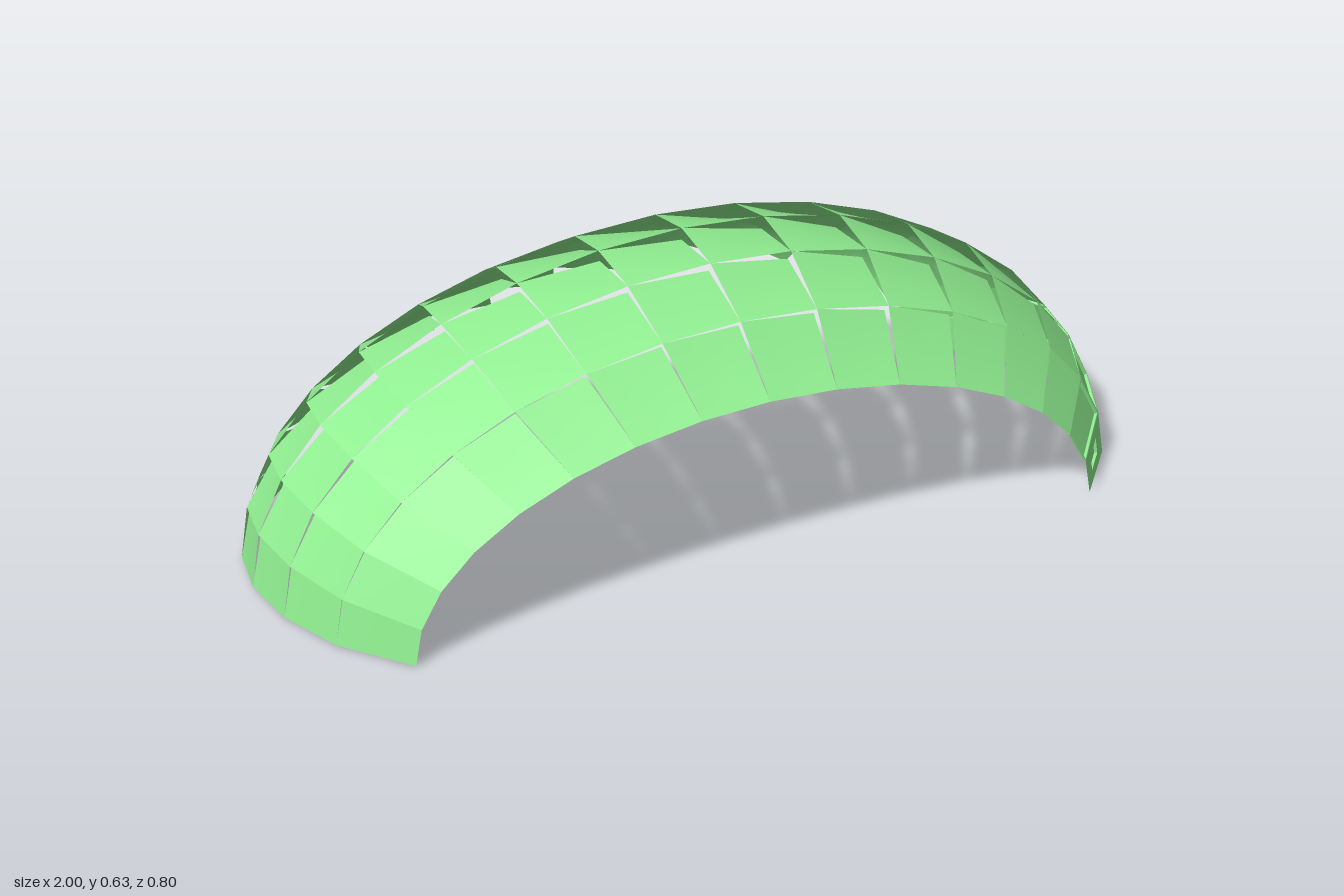
import * as THREE from 'three';
import { mergeGeometries } from 'three/addons/utils/BufferGeometryUtils.js';

const V = (x, y, z) => new THREE.Vector3(x, y, z);

// half-elliptical ribs of the vault, front to back: z, half width, height, base
const RIBS = [
  [0.4, 0.8, 0.418, 0], [0.262, 0.92, 0.535, 0.004], [0.12, 0.98, 0.604, 0.007], [-0.018, 1, 0.625, 0.009],
  [-0.148, 0.98, 0.604, 0.007], [-0.278, 0.91, 0.532, 0.004], [-0.4, 0.8, 0.415, 0],
];
const STEPS = 16;

function ribPoint(rib, i) {
  const [z, a, b, base] = RIBS[rib];
  const t = (i / STEPS) * Math.PI;
  return V(a * Math.cos(t), base + b * Math.sin(t), z);
}

// point on the bilinear surface through four corners
function blend(c, u, v) {
  return c[0].clone().lerp(c[1], u).lerp(c[3].clone().lerp(c[2], u), v);
}

// smooth, slightly twisted sheet between four corners
function sheet(c, n = 4) {
  const geo = new THREE.PlaneGeometry(1, 1, n, n);
  const pos = geo.attributes.position;
  for (let k = 0; k < pos.count; k++) {
    const p = blend(c, pos.getX(k) + 0.5, pos.getY(k) + 0.5);
    pos.setXYZ(k, p.x, p.y, p.z);
  }
  geo.computeVertexNormals();
  return geo;
}

// panel with a wide border and a shallow recessed pane
function recessedPanel(c, scale) {
  const lo = 0.5 - scale / 2, hi = 0.5 + scale / 2;
  const rim = [[lo, lo], [hi, lo], [hi, hi], [lo, hi]].map(([u, v]) => blend(c, u, v));
  const inward = c[1].clone().sub(c[0]).cross(c[3].clone().sub(c[0])).normalize().multiplyScalar(-0.007);
  const pane = rim.map(p => p.clone().add(inward));
  const parts = [sheet(pane)];
  for (let k = 0; k < 4; k++) {
    const m = (k + 1) % 4;
    parts.push(sheet([c[k], c[m], rim[m], rim[k]], 1), sheet([rim[k], rim[m], pane[m], pane[k]], 1));
  }
  return mergeGeometries(parts);
}

// how far a panel's free corner swings inward: most at the crown and the back
function swing(row, i) {
  const t = (i + 0.5) / STEPS * Math.PI;
  const depth = row / (RIBS.length - 2);
  const footFade = Math.min(1, Math.max(0, (i - 2 + 4 * depth) / 4));
  return 0.06 * (0.4 + 0.6 * depth) * Math.pow(Math.sin(t), 0.6) * (0.8 + 0.2 * Math.cos(t)) * footFade;
}

// pane size in the bordered cells near the left front foot, by step and row
const PANES = [[0.4, 0.62, 0.8, 0.9, 0.92, 0.93], [0.93, 0.91, 0.92, 0.93]];

export function createModel() {
  const group = new THREE.Group();
  group.name = 'panelledVault';
  const material = new THREE.MeshStandardMaterial({ color: 0x90ee90, side: THREE.DoubleSide });

  for (let row = 0; row < RIBS.length - 1; row++) {
    const panels = [];
    for (let i = 0; i < STEPS; i++) {
      // corners: low back, high back, high front, low front
      const c = [ribPoint(row + 1, i), ribPoint(row + 1, i + 1), ribPoint(row, i + 1), ribPoint(row, i)];
      const normal = c[1].clone().sub(c[3]).cross(c[2].clone().sub(c[0])).normalize();
      if (normal.dot(blend(c, 0.5, 0.5)) < 0) normal.negate();
      c[0].addScaledVector(normal, -swing(row, i));
      // order the corners so the outer side is the front
      const outward = [c[3], c[0], c[1], c[2]];
      const size = PANES[i]?.[row];
      panels.push(size ? recessedPanel(outward, size) : sheet(outward));
    }
    const mesh = new THREE.Mesh(mergeGeometries(panels), material);
    mesh.name = `panelRow${row + 1}`;
    group.add(mesh);
  }
  return group;
}
